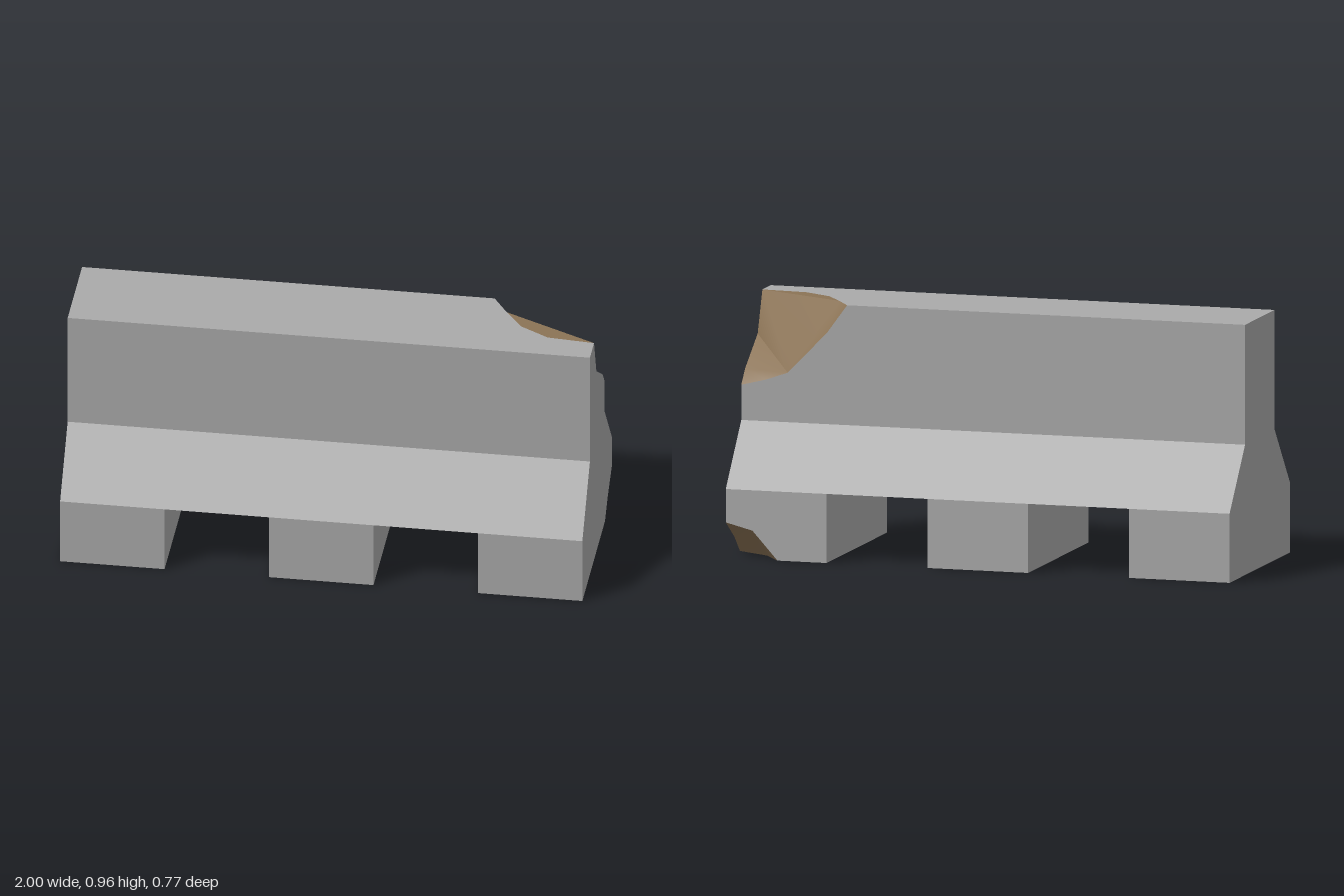
import * as THREE from 'three';
import { mergeGeometries } from 'three/addons/utils/BufferGeometryUtils.js';

const concrete = new THREE.MeshStandardMaterial({ color: 0xaaaaaa });
concrete.name = 'concrete';
const broken = new THREE.MeshStandardMaterial({ color: 0x8b7355, side: THREE.DoubleSide });
broken.name = 'brokenConcrete';

// Triangles between corner points, wound to face the given outward direction
function surface(points, triangles, out) {
  const v = points.map(p => new THREE.Vector3(...p));
  const index = [];
  for (const [a, b, c] of triangles) {
    const n = v[b].clone().sub(v[a]).cross(v[c].clone().sub(v[a]));
    index.push(...(n.dot(out) < 0 ? [a, c, b] : [a, b, c]));
  }
  const g = new THREE.BufferGeometry().setFromPoints(v);
  g.setIndex(index);
  g.computeVertexNormals();
  return g;
}

// Flat polygon, seen along its largest outward axis
function face(points, ...dir) {
  const out = new THREE.Vector3(...dir);
  const drop = dir.map(Math.abs).indexOf(Math.max(...dir.map(Math.abs)));
  const flat = points.map(p => new THREE.Vector2(...p.filter((_, i) => i !== drop)));
  return surface(points, THREE.ShapeUtils.triangulateShape(flat, []), out);
}

function mesh(name, geometry, material) {
  const m = new THREE.Mesh(geometry, material);
  m.name = name;
  return m;
}

export function createModel() {
  const group = new THREE.Group();
  group.name = 'barrier';
  const H = 0.96, N = 0.5, F = 0.265, T = 0.188, D = 0.385; // top, neck and foot heights; half depths

  // Outline of the broken top corner: along the top, down the end, along the back
  const topCut = [[0.58, H, -T], [0.64, H, -0.095], [0.71, H, 0], [0.82, H, 0.065], [1, H, 0.08]];
  const endCut = [[1, 0.8, 0.02], [1, 0.69, -0.14]];
  const backCut = [[1, 0.635, -T], [0.9, 0.66, -T], [0.816, 0.69, -T], [0.66, 0.85, -T]];

  // Wall above the feet
  const side = (x) => [[x, F, D], [x, N, T], [x, H, T], [x, H, -T], [x, N, -T], [x, F, -D]];
  const band = (y1, z1, y2, z2) => [[-1, y1, z1], [1, y1, z1], [1, y2, z2], [-1, y2, z2]];
  const wall = [
    face(side(-1), -1, 0, 0),
    face([[1, F, D], [1, N, T], [1, H, T], topCut[4], ...endCut, backCut[0], [1, N, -T], [1, F, -D]], 1, 0, 0),
    face(band(N, T, H, T), 0, 0, 1),
    face(band(F, D, N, T), 0, 0.6, 0.8),
    face(band(F, -D, N, -T), 0, 0.6, -0.8),
    face(band(F, -D, F, D), 0, -1, 0),
    face([[-1, H, T], [-1, H, -T], ...topCut, [1, H, T]], 0, 1, 0),
    face([[-1, N, -T], [1, N, -T], ...backCut, topCut[0], [-1, H, -T]], 0, 0, -1),
  ];
  group.add(mesh('wall', mergeGeometries(wall), concrete));

  // Whole feet
  for (const [name, x] of [['rightFoot', -0.8], ['middleFoot', 0]]) {
    const foot = mesh(name, new THREE.BoxGeometry(0.4, F, 2 * D), concrete);
    foot.position.set(x, F / 2, 0);
    group.add(foot);
  }

  // Foot with its lower back corner broken off
  const chip = [[1, 0, -0.205], [1, 0.065, -0.275], [1, 0.137, -D], [0.894, 0.11, -D], [0.795, 0, -D], [0.87, 0, -0.28]];
  const foot = [
    face([[1, F, D], [1, 0, D], chip[0], chip[1], chip[2], [1, F, -D]], 1, 0, 0),
    face([[0.6, F, D], [0.6, 0, D], [0.6, 0, -D], [0.6, F, -D]], -1, 0, 0),
    face([[0.6, 0, D], [1, 0, D], [1, F, D], [0.6, F, D]], 0, 0, 1),
    face([[0.6, 0, -D], chip[4], chip[3], chip[2], [1, F, -D], [0.6, F, -D]], 0, 0, -1),
    face([[0.6, 0, D], [1, 0, D], chip[0], chip[5], chip[4], [0.6, 0, -D]], 0, -1, 0),
  ];
  group.add(mesh('leftFoot', mergeGeometries(foot), concrete));
  const chipOut = new THREE.Vector3(1, -1, -1);
  group.add(mesh('footBreak', surface(chip, [[0, 1, 5], [1, 3, 5], [1, 2, 3], [3, 4, 5]], chipOut), broken));

  // Rough surface of the broken top corner: rim, hollow and lower lip
  const [a0, a1, , , a4] = topCut, [e1, e2] = endCut, [b0, b1, b2, b3] = backCut;
  const topBreak = [
    face(topCut.slice(1), 0, 1, 0),
    surface([a0, a1, a4, e1, b2, b3], [[2, 3, 4], [2, 4, 1], [1, 4, 5], [1, 5, 0]], new THREE.Vector3(1, 1, -1)),
    surface([e1, e2, b0, b1, b2], [[0, 1, 4], [1, 3, 4], [1, 2, 3]], new THREE.Vector3(0.3, 1, -0.3)),
  ];
  group.add(mesh('topBreak', mergeGeometries(topBreak), broken));

  return group;
}
